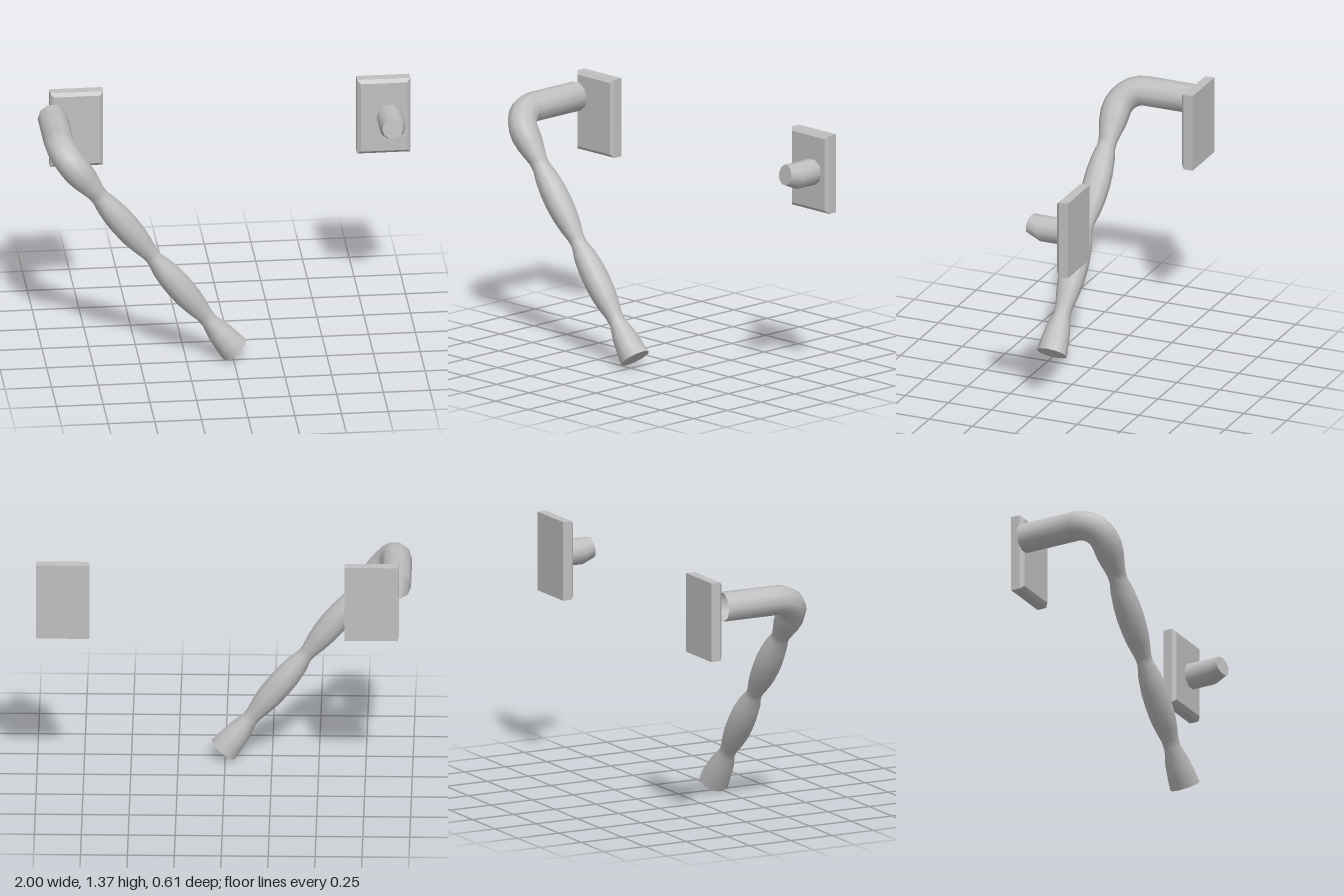
import * as THREE from 'three';

const SIDES = 10;

// Tube through rings of {p: centre, t: direction, r: radius}; "side" is a vector across every ring.
function loft(rings, side) {
  const pos = [], idx = [];
  rings.forEach(({ p, t, r }, i) => {
    const u = side.clone().addScaledVector(t, -side.dot(t)).normalize();
    const v = new THREE.Vector3().crossVectors(t, u);
    for (let j = 0; j < SIDES; j++) {
      const a = (j / SIDES) * Math.PI * 2;
      const q = p.clone().addScaledVector(u, r * Math.cos(a)).addScaledVector(v, r * Math.sin(a));
      pos.push(q.x, q.y, q.z);
      if (i > 0) {
        const k = (j + 1) % SIDES, b = (i - 1) * SIDES, c = i * SIDES;
        idx.push(b + j, b + k, c + j, b + k, c + k, c + j);
      }
    }
  });
  const tube = new THREE.BufferGeometry();
  tube.setAttribute('position', new THREE.Float32BufferAttribute(pos, 3));
  tube.setIndex(idx);
  tube.computeVertexNormals();

  // flat cap over the last ring
  const last = pos.slice(-SIDES * 3), capIdx = [];
  for (let j = 1; j < SIDES - 1; j++) capIdx.push(0, j, j + 1);
  const cap = new THREE.BufferGeometry();
  cap.setAttribute('position', new THREE.Float32BufferAttribute(last, 3));
  cap.setIndex(capIdx);
  cap.computeVertexNormals();
  return [tube, cap];
}

export function createModel() {
  const model = new THREE.Group();
  model.name = 'doorHandleSet';
  const metal = new THREE.MeshStandardMaterial({ color: 0xbfbfbf, side: THREE.DoubleSide });
  metal.name = 'greyMetal';

  const addLoft = (name, rings, side) => {
    const group = new THREE.Group();
    group.name = name;
    loft(rings, side).forEach((g, i) => {
      const mesh = new THREE.Mesh(g, metal);
      mesh.name = name + (i ? 'End' : 'Body');
      group.add(mesh);
    });
    model.add(group);
  };

  // Bevelled wall plates
  const bevel = 0.018;
  const shape = new THREE.Shape();
  const w = 0.1425 - bevel, h = 0.215 - bevel;
  shape.moveTo(-w, -h).lineTo(w, -h).lineTo(w, h).lineTo(-w, h).closePath();
  const plateGeo = new THREE.ExtrudeGeometry(shape, {
    depth: 0.052, bevelEnabled: true, bevelSize: bevel, bevelThickness: bevel, bevelSegments: 1,
  });
  // square off the back rim
  const pp = plateGeo.attributes.position;
  for (let i = 0; i < pp.count; i++) {
    if (pp.getZ(i) < -0.001) {
      pp.setXYZ(i, Math.sign(pp.getX(i)) * (w + bevel), Math.sign(pp.getY(i)) * (h + bevel), 0);
    }
  }
  plateGeo.computeVertexNormals();
  for (const [name, x] of [['rightPlate', -0.7875], ['leftPlate', 0.8575]]) {
    const plate = new THREE.Mesh(plateGeo, metal);
    plate.name = name;
    plate.position.set(x, 1.165, -0.307);
    model.add(plate);
  }

  // Lever: straight neck, rounded bend, then a swelling grip
  const zAxis = new THREE.Vector3(0, 0, 1);
  const down = new THREE.Vector3(0.615, -0.788, 0).normalize();
  const corner = new THREE.Vector3(-0.918, 1.243, 0.225);
  const across = new THREE.Vector3().crossVectors(down, zAxis);
  const rings = [{ p: corner.clone().setZ(-0.237), t: zAxis, r: 0.08 }];
  const R = 0.14, STEPS = 6;
  for (let i = 0; i <= STEPS; i++) {
    const a = (i / STEPS) * Math.PI / 2;
    rings.push({
      p: corner.clone().addScaledVector(zAxis, -R + R * Math.sin(a)).addScaledVector(down, R - R * Math.cos(a)),
      t: zAxis.clone().multiplyScalar(Math.cos(a)).addScaledVector(down, Math.sin(a)),
      r: 0.08,
    });
  }
  const grip = [
    [0.2, 0.074], [0.3, 0.051], [0.34, 0.05], [0.4, 0.063], [0.48, 0.072], [0.55, 0.074], [0.63, 0.07],
    [0.7, 0.06], [0.77, 0.045], [0.81, 0.044], [0.88, 0.062], [0.96, 0.071], [1.03, 0.073], [1.11, 0.07],
    [1.18, 0.06], [1.24, 0.047], [1.29, 0.046], [1.37, 0.067], [1.44, 0.076], [1.505, 0.083],
  ];
  for (const [s, r] of grip) rings.push({ p: corner.clone().addScaledVector(down, s), t: down, r });
  addLoft('lever', rings, across);

  // Short peg with a slightly slanted tip
  addLoft('peg', [
    { p: new THREE.Vector3(0.888, 1.165, -0.24), t: zAxis, r: 0.071 },
    { p: new THREE.Vector3(0.888, 1.165, -0.105), t: zAxis, r: 0.071 },
    { p: new THREE.Vector3(0.883, 1.181, -0.042), t: new THREE.Vector3(-0.14, 0.17, 1).normalize(), r: 0.056 },
  ], new THREE.Vector3(1, 0, 0));

  return model;
}
